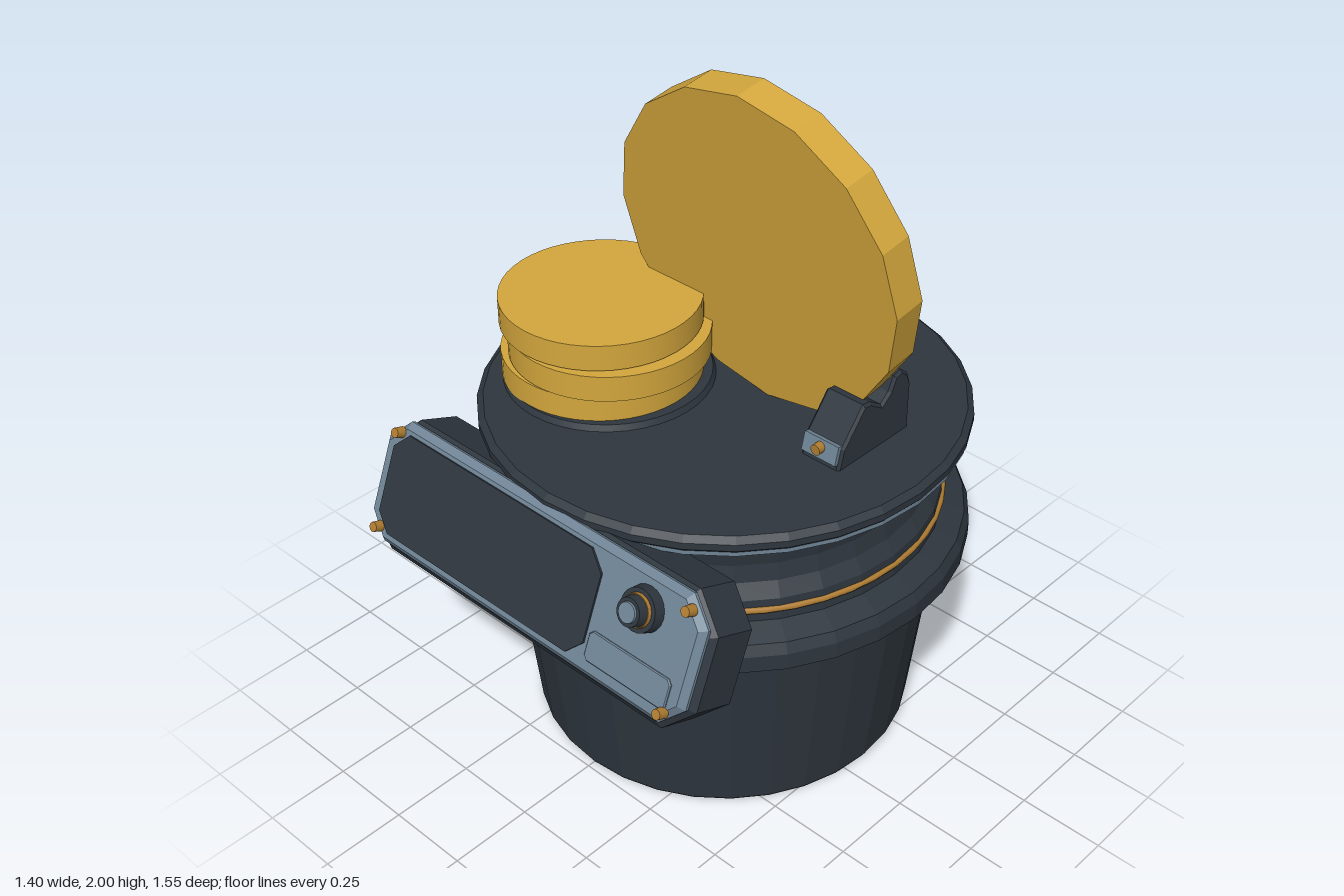
import * as THREE from 'three';

const mat = (name, color) => {
  const m = new THREE.MeshStandardMaterial({ color });
  m.name = name;
  return m;
};

// Faceted normals without touching the material
const flat = (g) => {
  const f = g.index ? g.toNonIndexed() : g;
  f.computeVertexNormals();
  return f;
};

const lathe = (pts, seg) => flat(new THREE.LatheGeometry(pts.map(p => new THREE.Vector2(...p)), seg));

// Rectangle with cut corners
function octagon(w, h, c) {
  const x = w / 2, y = h / 2;
  return new THREE.Shape([
    [-x + c, -y], [x - c, -y], [x, -y + c], [x, y - c],
    [x - c, y], [-x + c, y], [-x, y - c], [-x, -y + c],
  ].map(p => new THREE.Vector2(...p)));
}

// Extrusion occupying z0..z1, bevel kept inside the outline
function slab(shape, z0, z1, b) {
  const g = new THREE.ExtrudeGeometry(shape, {
    depth: z1 - z0 - 2 * b, bevelEnabled: b > 0, bevelThickness: b,
    bevelSize: b, bevelOffset: -b, bevelSegments: 1,
  });
  return g.translate(0, 0, z0 + b);
}

export function createModel() {
  const dark = mat('charcoal', 0x2e363e);
  const steel = mat('steel blue', 0x6f8495);
  const gold = mat('gold', 0xd4a73d);
  const bronze = mat('bronze', 0xb07d32);

  const model = new THREE.Group();
  const add = (parent, name, geo, material, x = 0, y = 0, z = 0) => {
    const m = new THREE.Mesh(geo, material);
    m.name = name;
    m.position.set(x, y, z);
    parent.add(m);
    return m;
  };

  // Pot, flange and neck
  const pot = new THREE.Group();
  pot.name = 'pot';
  pot.position.z = -0.075;
  model.add(pot);
  add(pot, 'body', lathe([
    [0, 0], [0.55, 0], [0.557, 0.012], [0.618, 0.57], [0.64, 0.575], [0.7, 0.61],
    [0.7, 0.66], [0.685, 0.69], [0.62, 0.715], [0.615, 0.78], [0.588, 0.82],
    [0.578, 0.87], [0.585, 0.92], [0.615, 0.965], [0, 0.965],
  ], 32), dark);
  add(pot, 'neckRing', new THREE.TorusGeometry(0.618, 0.009, 6, 48).rotateX(Math.PI / 2), bronze, 0, 0.75);

  // Lid with a metal lower lip
  add(pot, 'lid', lathe([
    [0.6, 0.985], [0.682, 0.998], [0.688, 1.005], [0.688, 1.025], [0.67, 1.04], [0, 1.04],
  ], 32), dark);
  add(pot, 'lidLip', lathe([[0.6, 0.955], [0.645, 0.96], [0.682, 0.985], [0.682, 0.999]], 32), steel);

  // Stack of discs on a low base
  add(model, 'stackBase', new THREE.CylinderGeometry(0.29, 0.3, 0.02, 40), dark, -0.29, 1.047, 0.088);
  [[-0.312, 0.092], [-0.28, 0.092], [-0.312, 0.092]].forEach(([x, z], i) =>
    add(model, 'stackDisc', new THREE.CylinderGeometry(0.283, 0.283, 0.077, 48), gold, x, 1.09 + i * 0.083, z));

  // Large standing disc, leaning forward
  const disc = add(model, 'standingDisc',
    flat(new THREE.CylinderGeometry(0.478, 0.478, 0.1, 16).rotateX(Math.PI / 2).rotateZ(Math.PI / 2)),
    gold, 0.111, 1.52, -0.107);
  disc.rotation.x = 0.143;

  // Two clamps holding the standing disc
  const clampShape = new THREE.Shape([
    [-0.275, 1.03], [0.02, 1.03], [0.002, 1.1], [-0.04, 1.15], [-0.08, 1.2], [-0.11, 1.195],
    [-0.155, 1.165], [-0.185, 1.19], [-0.205, 1.23], [-0.235, 1.237], [-0.262, 1.215], [-0.275, 1.18],
  ].reverse().map(p => new THREE.Vector2(...p)));
  for (const x of [-0.2, 0.421]) {
    const clamp = new THREE.Group();
    clamp.name = 'clamp';
    clamp.position.x = x;
    model.add(clamp);
    add(clamp, 'clampBody', slab(clampShape, -0.065, 0.065, 0.008).rotateY(-Math.PI / 2), dark);
    const plate = add(clamp, 'clampPlate', new THREE.BoxGeometry(0.115, 0.055, 0.016), steel, 0, 1.082, 0.01);
    plate.rotation.x = -0.25;
    add(clamp, 'clampBolt', new THREE.CylinderGeometry(0.016, 0.016, 0.025, 10).rotateX(Math.PI / 2), bronze, 0, 1.088, 0.024);
  }

  // Tilted control panel; local z = 0 is the front face
  const panel = new THREE.Group();
  panel.name = 'controlPanel';
  panel.position.set(0, 0.855, 0.69);
  panel.rotation.x = -0.385;
  model.add(panel);
  add(panel, 'housing', slab(octagon(1.23, 0.39, 0.09), -0.195, -0.025, 0.02), dark, 0, -0.01);
  add(panel, 'frame', slab(octagon(1.2, 0.36, 0.07), -0.045, 0, 0.018), steel);
  add(panel, 'screen', slab(octagon(0.81, 0.295, 0.05), -0.003, 0.006, 0), dark, -0.15, 0.003);
  add(panel, 'labelPlate', slab(octagon(0.285, 0.085, 0.012), -0.002, 0.007, 0.003), steel, 0.41, -0.09);

  // Rotary knob
  const dial = (r0, r1, h) => new THREE.CylinderGeometry(r1, r0, h, 20).rotateX(Math.PI / 2);
  add(panel, 'knobBase', dial(0.062, 0.058, 0.03), dark, 0.412, 0.082, 0.015);
  add(panel, 'knobRing', dial(0.046, 0.044, 0.012), bronze, 0.412, 0.082, 0.034);
  add(panel, 'knob', dial(0.043, 0.038, 0.03), dark, 0.412, 0.082, 0.05);
  add(panel, 'knobCap', dial(0.029, 0.027, 0.01), steel, 0.412, 0.082, 0.066);

  // Corner screws
  for (const x of [-0.542, 0.548])
    for (const y of [-0.138, 0.145])
      add(panel, 'screw', dial(0.016, 0.014, 0.03), bronze, x, y, 0.012);

  return model;
}
